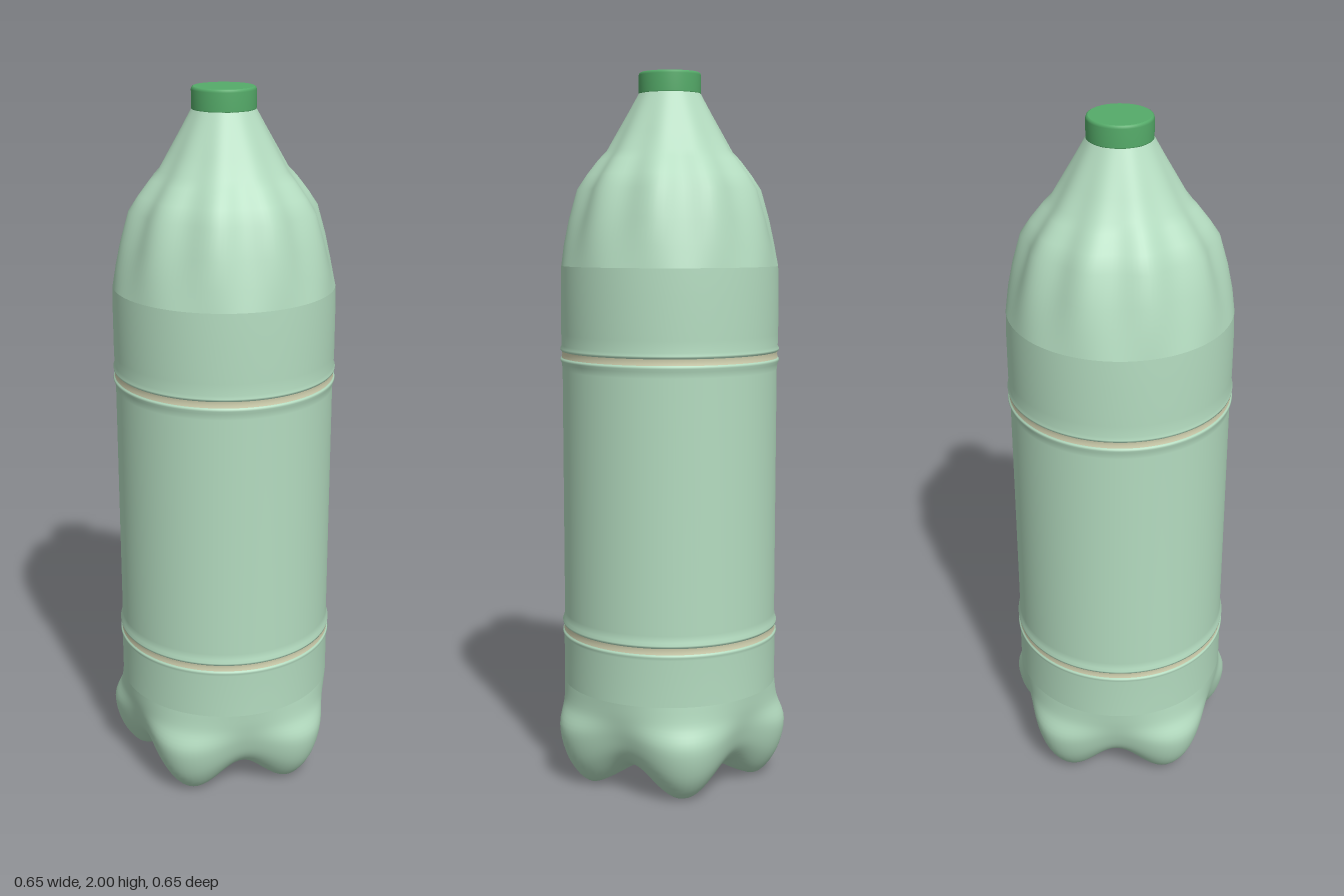
import * as THREE from 'three';

const SEG = 120;
const material = (color) => new THREE.MeshStandardMaterial({ color, roughness: 0.6 });

// Skin over horizontal rings, listed bottom to top; each ring maps an angle to [radius, height].
function skin(rings) {
  const pos = [], index = [];
  for (const ring of rings) {
    for (let i = 0; i < SEG; i++) {
      const a = (i / SEG) * Math.PI * 2;
      const [r, y] = ring(a);
      pos.push(r * Math.cos(a), y, r * Math.sin(a));
    }
  }
  for (let j = 0; j < rings.length - 1; j++) {
    for (let i = 0; i < SEG; i++) {
      const k = (i + 1) % SEG;
      const a = j * SEG + i, b = j * SEG + k, c = a + SEG, d = b + SEG;
      index.push(a, c, b, b, c, d);
    }
  }
  const geo = new THREE.BufferGeometry();
  geo.setAttribute('position', new THREE.Float32BufferAttribute(pos, 3));
  geo.setIndex(index);
  geo.computeVertexNormals();
  return geo;
}

const points = (list) => list.map(([r, y]) => new THREE.Vector2(r, y));

export function createModel() {
  const bottle = new THREE.Group();
  bottle.name = 'bottle';
  const add = (name, geo, mat) => {
    const mesh = new THREE.Mesh(geo, mat);
    mesh.name = name;
    mesh.position.x = -0.014; // one foot sticks out towards +x
    bottle.add(mesh);
  };
  const plastic = material(0xb4dcc0);
  const green = material(0x55ab69);
  const cream = material(0xd6d6b4);

  // Five-footed base: blend between a foot profile and a valley profile
  const foot = new THREE.SplineCurve(points([
    [0.002, 0.05], [0.13, 0.035], [0.21, 0.004], [0.265, 0.004],
    [0.316, 0.07], [0.337, 0.16], [0.314, 0.225], [0.306, 0.28],
  ]));
  const valley = new THREE.SplineCurve(points([
    [0.002, 0.05], [0.1, 0.056], [0.18, 0.065], [0.235, 0.085],
    [0.272, 0.125], [0.292, 0.18], [0.302, 0.235], [0.306, 0.28],
  ]));
  const baseRings = [];
  const steps = 35;
  for (let j = 0; j <= steps; j++) {
    const f = foot.getPoint(j / steps), v = valley.getPoint(j / steps);
    baseRings.push((a) => {
      const w = 0.5 + 0.5 * Math.cos(5 * a);
      return [v.x + (f.x - v.x) * w, Math.max(0, v.y + (f.y - v.y) * w)];
    });
  }
  add('footedBase', skin(baseRings), plastic);

  // Straight wall with a lipped groove at each end of the label area
  const groove = (y) => [
    [0.306, y - 0.025], [0.31, y - 0.017], [0.309, y - 0.011], [0.302, y - 0.006],
    [0.302, y + 0.006], [0.309, y + 0.011], [0.31, y + 0.017], [0.306, y + 0.025],
  ];
  const wall = [
    [0.306, 0.28], ...groove(0.437), [0.304, 0.48], [0.304, 1.18],
    ...groove(1.223), [0.307, 1.28], [0.307, 1.4], [0.305, 1.47],
  ];
  add('wall', new THREE.LatheGeometry(points(wall), SEG), plastic);

  // Pale bands lying in the grooves
  for (const [name, y] of [['lowerBand', 0.437], ['upperBand', 1.223]]) {
    const band = points([[0.306, y - 0.009], [0.3045, y], [0.306, y + 0.009]]);
    add(name, new THREE.LatheGeometry(band, SEG), cream);
  }

  // Shoulder with ten soft flutes: radius, height, flute depth
  const shoulder = [
    [0.305, 1.47, 0], [0.2935, 1.53, 0.004], [0.276, 1.6, 0.007], [0.251, 1.68, 0.009],
    [0.225, 1.72, 0.008], [0.194, 1.762, 0.006], [0.174, 1.785, 0.003],
    [0.145, 1.837, 0.002], [0.115, 1.89, 0.001], [0.082, 1.95, 0],
  ];
  add('shoulder', skin(shoulder.map(([r, y, d]) => (a) => [r - d * Math.cos(10 * a), y])), plastic);

  // Screw cap: closed sides and flat top with a small rounded rim
  const capSide = points([
    [0.07, 1.94], [0.086, 1.94], [0.0865, 1.945], [0.0865, 1.992], [0.0845, 1.998], [0.081, 2],
  ]);
  add('cap', new THREE.LatheGeometry(capSide, 64), green);
  const capTop = new THREE.CircleGeometry(0.081, 64);
  capTop.rotateX(-Math.PI / 2);
  capTop.translate(0, 2, 0);
  add('capTop', capTop, green);

  return bottle;
}
